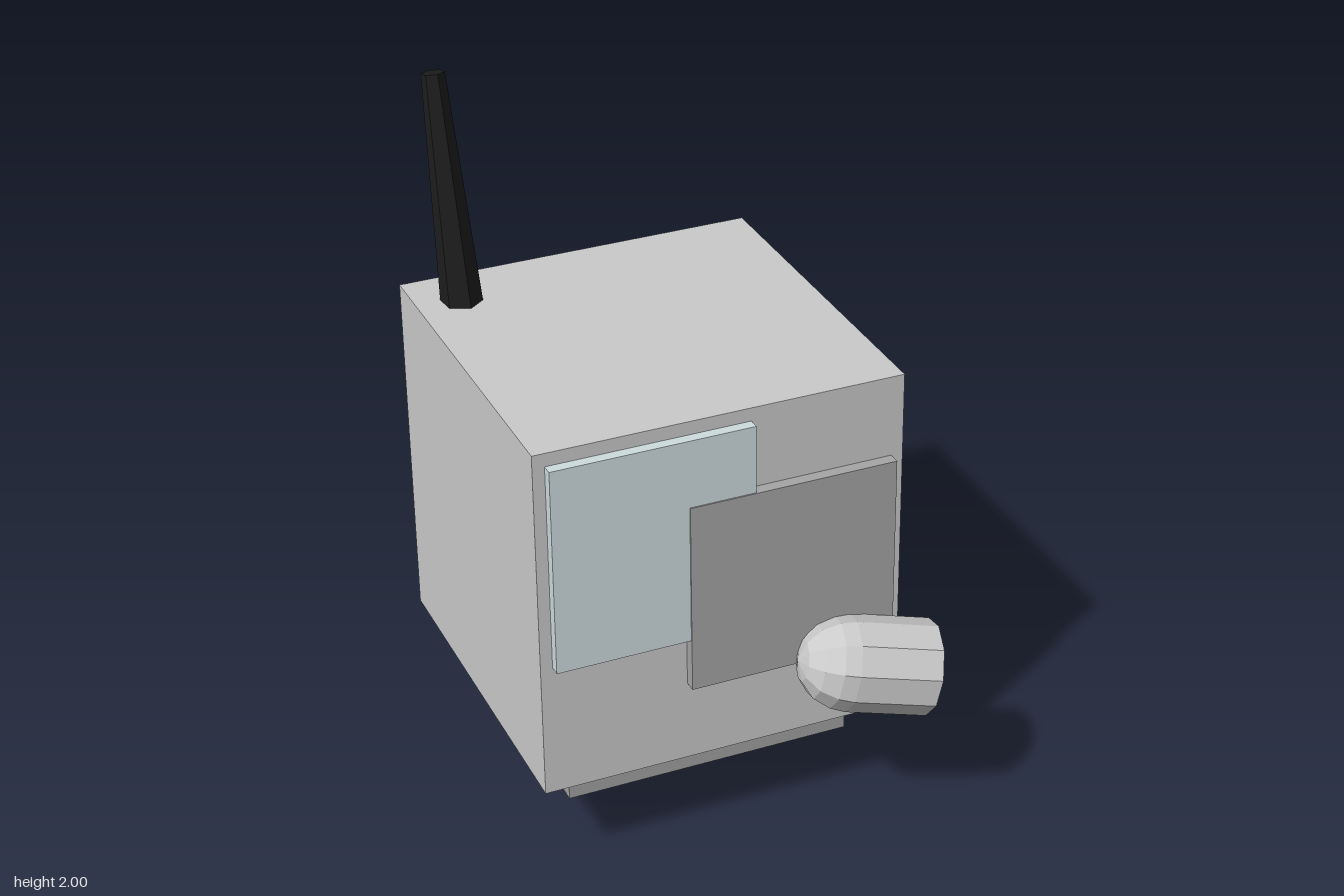
import * as THREE from 'three';

const mat = (color) => new THREE.MeshStandardMaterial({ color, flatShading: true });
const GREY = mat(0xcccccc), DARK = mat(0xa6a6a6), PALE = mat(0xcfdde0);
const RED = mat(0xf0473a), ORANGE = mat(0xf85e24), BLACK = mat(0x1c1c1c);

function add(parent, name, geometry, material) {
  const mesh = new THREE.Mesh(geometry, material);
  mesh.name = name;
  parent.add(mesh);
  return mesh;
}

// Box given by its extents along each axis
function block(parent, name, material, [x0, x1], [y0, y1], [z0, z1]) {
  const mesh = add(parent, name, new THREE.BoxGeometry(x1 - x0, y1 - y0, z1 - z0), material);
  mesh.position.set((x0 + x1) / 2, (y0 + y1) / 2, (z0 + z1) / 2);
  return mesh;
}

// Regular polygon outline
function polygon(sides, radius, phase = 0) {
  const pts = [];
  for (let i = 0; i < sides; i++) {
    const a = phase + (i / sides) * Math.PI * 2;
    pts.push(new THREE.Vector2(radius * Math.sin(a), -radius * Math.cos(a)));
  }
  return pts;
}

// Square ring extruded along z
function squareRing(outer, inner, depth) {
  const shape = new THREE.Shape(polygon(4, outer * Math.SQRT2, Math.PI / 4));
  shape.holes.push(new THREE.Path(polygon(4, inner * Math.SQRT2, Math.PI / 4)));
  return new THREE.ExtrudeGeometry(shape, { depth, bevelEnabled: false });
}

// Thruster: rounded nose, hollow barrel, five-sided dark nozzle; z points out of the nozzle
function thruster(name, mouth, direction) {
  const g = new THREE.Group();
  g.name = name;
  const R = 0.138, length = 0.385, depth = 0.24;
  const profile = [[0, 0], [0.06, 0.015], [0.105, 0.05], [0.13, 0.1], [R, length - depth]];
  const nose = new THREE.LatheGeometry(profile.map(([r, y]) => new THREE.Vector2(r, y)), 10);
  nose.rotateX(Math.PI / 2).translate(0, 0, -length);
  add(g, 'thrusterNose', nose, GREY);

  const shape = new THREE.Shape(polygon(10, R));
  shape.holes.push(new THREE.Path(polygon(5, 0.115)));
  const barrel = new THREE.ExtrudeGeometry(shape, { depth, bevelEnabled: false });
  add(g, 'thrusterBarrel', barrel.translate(0, 0, -depth), GREY);

  const core = new THREE.ShapeGeometry(new THREE.Shape(polygon(5, 0.116)));
  add(g, 'thrusterNozzle', core.translate(0, 0, -0.06), BLACK);

  g.position.set(...mouth);
  g.lookAt(new THREE.Vector3(...mouth).add(new THREE.Vector3(...direction)));
  return g;
}

export function createModel() {
  const model = new THREE.Group();
  model.name = 'cubeDrone';

  // Slightly turned and pitched cube body
  const body = new THREE.Group();
  body.name = 'body';
  body.position.set(-0.028, 0.819, -0.07);
  body.rotation.set(-0.037, -0.116, 0, 'YXZ');
  model.add(body);
  add(body, 'hull', new THREE.BoxGeometry(1.08, 1.08, 1.08), GREY);

  // Overlapping armour plates, front and back
  block(body, 'frontPalePlate', PALE, [-0.505, 0.085], [-0.13, 0.5], [0.5, 0.572]);
  block(body, 'frontGreyPlate', DARK, [-0.11, 0.506], [-0.29, 0.295], [0.5, 0.576]);
  block(body, 'backPalePlate', PALE, [-0.1, 0.46], [-0.1, 0.49], [-0.578, -0.5]);
  block(body, 'backGreyPlate', DARK, [-0.51, 0.07], [-0.4, 0.27], [-0.584, -0.5]);

  // Framed eye panel on the left side
  const frame = add(body, 'eyeFrame', squareRing(0.403, 0.33, 0.079), PALE);
  frame.rotation.y = Math.PI / 2;
  frame.position.x = 0.53;
  block(body, 'eyePanel', RED, [0.5, 0.546], [-0.335, 0.335], [-0.335, 0.335]);
  block(body, 'eyeIris', ORANGE, [0.53, 0.576], [-0.118, 0.118], [-0.118, 0.118]);
  block(body, 'eyePupil', PALE, [0.55, 0.586], [-0.033, 0.033], [-0.033, 0.033]);

  // Stepped base narrowing downwards
  const base = new THREE.Group();
  base.name = 'base';
  base.position.set(-0.04, 0, -0.03);
  base.rotation.y = -0.116;
  model.add(base);
  const steps = [[0.43, 0.185, 0.32], [0.36, 0.15, 0.2], [0.275, 0.1, 0.16]];
  for (const [h, y0, y1] of steps) {
    block(base, 'baseStep', DARK, [-h, h], [y0, y1], [-h, h]);
  }
  const foot = add(base, 'footRing', squareRing(0.21, 0.155, 0.12), DARK);
  foot.rotation.x = -Math.PI / 2;
  block(base, 'footVent', BLACK, [-0.16, 0.16], [0.04, 0.11], [-0.16, 0.16]);

  // Thrusters at the front and back
  model.add(thruster('frontThruster', [0.452, 0.512, 0.685], [1, -0.21, 0.33]));
  model.add(thruster('backThruster', [0.515, 0.505, -0.69], [1, -0.22, 0.06]));

  // Tapered antenna leaning back
  const foot0 = new THREE.Vector3(-0.388, 1.32, -0.505);
  const tip = new THREE.Vector3(-0.382, 1.995, -0.65);
  const axis = tip.clone().sub(foot0);
  const antenna = add(model, 'antenna', new THREE.CylinderGeometry(0.034, 0.062, axis.length(), 6), BLACK);
  antenna.position.copy(foot0).addScaledVector(axis, 0.5);
  antenna.quaternion.setFromUnitVectors(new THREE.Vector3(0, 1, 0), axis.normalize());

  return model;
}
